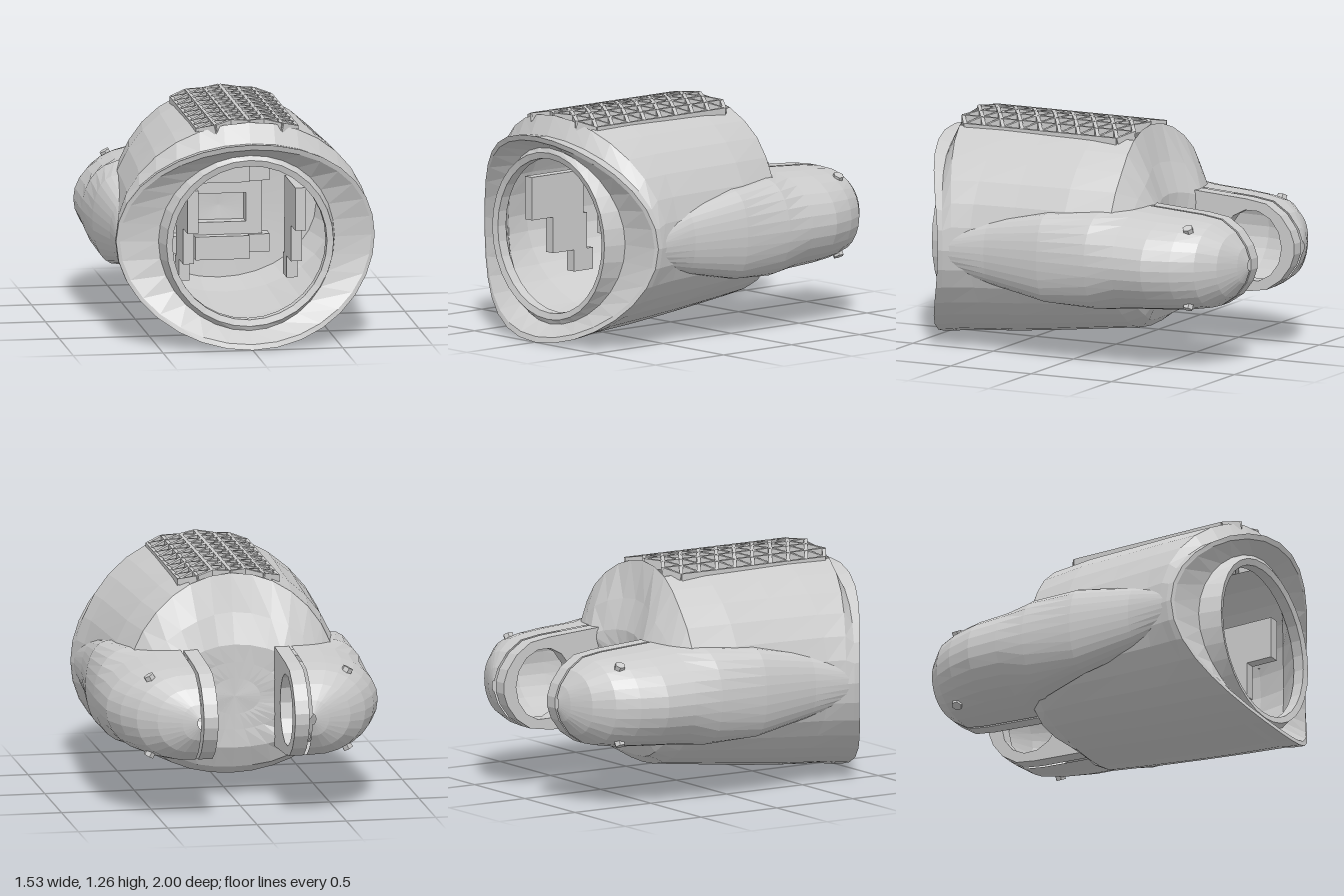
import * as THREE from 'three';

const CY = 0.58; // height of the side seam
const mat = new THREE.MeshStandardMaterial({ color: 0xcccccc, flatShading: true, side: THREE.DoubleSide });

// Skin a list of equally long point rings; skip(i, j) leaves a window open
function loft(rings, closed, skip = () => false) {
  const n = rings[0].length, pos = rings.flat(2), idx = [];
  for (let i = 0; i < rings.length - 1; i++) {
    for (let j = 0; j < (closed ? n : n - 1); j++) {
      if (skip(i, j)) continue;
      const k = (j + 1) % n, a = i * n + j, b = i * n + k, c = a + n, d = b + n;
      idx.push(a, b, c, b, d, c);
    }
  }
  const g = new THREE.BufferGeometry();
  g.setAttribute('position', new THREE.Float32BufferAttribute(pos, 3));
  g.setIndex(idx);
  g.computeVertexNormals();
  return g;
}

function add(parent, name, geo, x = 0, y = 0, z = 0) {
  const m = new THREE.Mesh(geo, mat);
  m.name = name;
  m.position.set(x, y, z);
  parent.add(m);
  return m;
}

// Oval ring with its own top and bottom; zAt(x, sin) gives the depth
function oval(w, top, bottom, zAt, n = 32) {
  return Array.from({ length: n }, (_, i) => {
    const t = (i / n) * Math.PI * 2, s = Math.sin(t), x = w * Math.cos(t);
    return [x, CY + s * (s > 0 ? top - CY : CY - bottom), zAt(x, s)];
  });
}

// Thin hollow shell: outside, curved rim, collar and inside as one skin
function bodyGeometry() {
  const hollow = (z) => (x) => z + 0.07 * (1 - Math.min(1, (x / 0.25) ** 2));
  const flat = (z) => () => z;
  const rim = (side, mid) => (x, s) => side + (mid - side) * s * s;
  const circle = (r, zAt) => oval(r, CY + r, CY - r, zAt);
  const rings = [
    oval(0.001, CY + 0.001, CY - 0.001, hollow(-0.4)),
    oval(0.14, 0.68, 0.48, hollow(-0.4)),
    oval(0.28, 0.77, 0.39, hollow(-0.4)),
    oval(0.46, 0.87, 0.29, hollow(-0.4)),
    oval(0.54, 1.04, 0.17, hollow(-0.34)),
    oval(0.6, 1.25, 0.125, (x) => -0.26 + 0.04 * (1 - Math.min(1, (x / 0.4) ** 2))),
    oval(0.65, 1.26, 0.1, flat(0)),
    oval(0.67, 1.26, 0.065, flat(0.3)),
    oval(0.69, 1.26, 0.04, flat(0.55)),
    oval(0.71, 1.25, 0.02, rim(0.65, 0.86)),
    oval(0.72, 1.14, 0.01, rim(0.7, 0.91)),
    oval(0.72, 1.15, 0, rim(0.73, 1)),
    oval(0.7, 1.12, 0.03, rim(0.74, 0.99)),
    circle(0.49, rim(0.77, 0.89)),
    circle(0.465, flat(0.9)),
    circle(0.43, flat(0.89)),
    circle(0.43, flat(0.83)),
    oval(0.6, 1.2, 0.1, rim(0.66, 0.84)),
    oval(0.63, 1.21, 0.1, flat(0.5)),
    oval(0.6, 1.21, 0.14, flat(0)),
    oval(0.54, 1.2, 0.18, flat(-0.22)),
    circle(0.001, flat(-0.25)),
  ];
  // the top panel is open on the outer and the inner skin
  const window = (i, j) => j >= 6 && j <= 9 && ((i >= 5 && i <= 8) || (i >= 17 && i <= 19));
  return loft(rings, true, window);
}

// Arm sections: z, inner x, outer x, half height
const ARM = [
  [0.7, 0.6, 0.712, 0.12], [0.45, 0.6, 0.712, 0.18], [0.1, 0.6, 0.754, 0.25],
  [-0.2, 0.5, 0.765, 0.275], [-0.37, 0.31, 0.765, 0.28], [-0.55, 0.31, 0.76, 0.268],
  [-0.7, 0.31, 0.71, 0.258], [-0.82, 0.31, 0.64, 0.24], [-0.91, 0.31, 0.54, 0.18],
  [-0.97, 0.31, 0.41, 0.1], [-0.995, 0.31, 0.33, 0.03],
];

function armGeometry() {
  const n = 14;
  return loft([...ARM].reverse().map(([z, a, b, h]) =>
    Array.from({ length: n + 1 }, (_, i) => {
      const t = (i / n - 0.5) * Math.PI, c = Math.max(0, Math.cos(t));
      return [a + (b - a) * c ** 0.75, CY + h * Math.sin(t), z];
    })), false);
}

// Inner plate follows the arm outline and carries the round socket
function plateGeometry() {
  const rear = ARM.slice(4);
  const pts = [
    ...rear.map(([z, , , h]) => new THREE.Vector2(-z, h)),
    ...[...rear].reverse().map(([z, , , h]) => new THREE.Vector2(-z, -h)),
  ];
  const shape = new THREE.Shape(pts);
  const hole = new THREE.Path();
  hole.absellipse(0.73, 0, 0.185, 0.2, 0, Math.PI * 2, true);
  shape.holes.push(hole);
  const g = new THREE.ExtrudeGeometry(shape, { depth: 0.08, bevelEnabled: false, curveSegments: 7 });
  return g.rotateY(Math.PI / 2).translate(0.215, CY, 0);
}

function buildArm() {
  const arm = new THREE.Group();
  add(arm, 'armShell', armGeometry());
  add(arm, 'socketPlate', plateGeometry());
  // short webs joining the plate to the back of the body
  const web = new THREE.Shape();
  web.moveTo(0.215, 0.35);
  web.lineTo(0.24, 0.42);
  web.lineTo(0.34, 0.58);
  web.lineTo(0.42, 0.35);
  const webGeo = new THREE.ExtrudeGeometry(web, { depth: 0.03, bevelEnabled: false }).rotateX(-Math.PI / 2);
  for (const y of [0.33, 0.81]) add(arm, 'web', webGeo, 0, y, 0);
  // nearly flush screw heads near the tip
  for (const s of [-1, 1]) {
    const screw = add(arm, 'screwHead', new THREE.CylinderGeometry(0.03, 0.03, 0.04, 6), 0.55, CY + s * 0.21, -0.74);
    screw.rotation.z = -s * 0.5;
  }
  return arm;
}

// Triangular grille of thin bars bent over the open panel
function buildGrille() {
  const grille = new THREE.Group();
  grille.name = 'topGrille';
  const dx = 0.092, dz = 0.118;
  const node = (i, j) => {
    const x = i * dx;
    return new THREE.Vector3(x, 1.238 - 0.65 * x * x, -0.21 + (j + (Math.abs(i) % 2) / 2) * dz);
  };
  const bar = (a, b) => {
    const m = add(grille, 'grilleBar', new THREE.BoxGeometry(0.02, 0.05, a.distanceTo(b)));
    m.position.copy(a).lerp(b, 0.5);
    m.lookAt(b);
  };
  for (let i = -3; i <= 3; i++) {
    const odd = Math.abs(i) % 2, count = odd ? 9 : 10;
    for (let j = 0; j < count; j++) {
      if (j + 1 < count) bar(node(i, j), node(i, j + 1));
      if (i === 3) continue;
      const other = odd ? [j, j + 1] : [j - 1, j];
      for (const k of other) if (k >= 0 && k < (odd ? 10 : 9)) bar(node(i, j), node(i + 1, k));
    }
  }
  return grille;
}

// Stepped brackets inside the shell and the window block at its end
function buildFrame() {
  const frame = new THREE.Group();
  frame.name = 'innerFrame';
  const box = (name, w, h, d, x, y, z) => add(frame, name, new THREE.BoxGeometry(w, h, d), x, CY + y, z);
  for (const s of [-1, 1]) {
    box('bracketTop', 0.06, 0.24, 0.38, s * 0.3, 0.16, 0.59);
    box('bracketMiddle', 0.06, 0.2, 0.25, s * 0.3, -0.06, 0.5);
    box('bracketFoot', 0.06, 0.12, 0.14, s * 0.3, -0.22, 0.4);
    box('frameRail', 0.3, 0.13, 0.14, 0, s * 0.215, -0.17);
    box('cornerTab', 0.12, 0.1, 0.1, s * 0.21, 0.2, -0.19);
    box('cornerTab', 0.12, 0.1, 0.1, s * 0.21, -0.2, -0.19);
    box('windowSide', 0.09, 0.32, 0.08, s * 0.185, 0, -0.2);
    box('windowEdge', 0.28, 0.08, 0.08, 0, s * 0.12, -0.2);
  }
  return frame;
}

export function createModel() {
  const model = new THREE.Group();
  model.name = 'jointHousing';
  add(model, 'bodyShell', bodyGeometry());
  for (const s of [1, -1]) {
    const arm = buildArm();
    arm.name = s > 0 ? 'leftArm' : 'rightArm';
    arm.scale.x = s;
    model.add(arm);
  }
  model.add(buildGrille(), buildFrame());
  return model;
}
